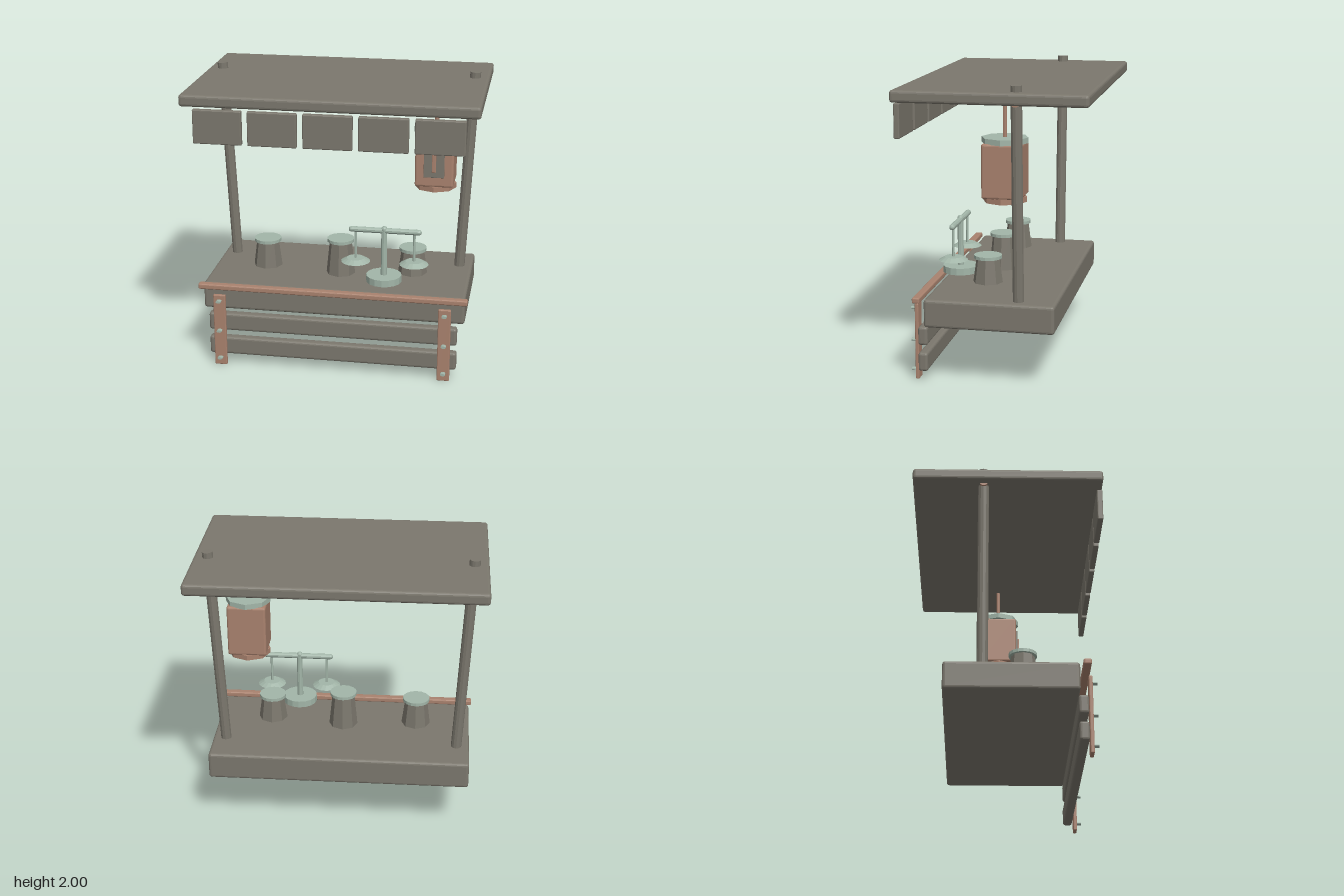
import * as THREE from 'three';
import { RoundedBoxGeometry } from 'three/addons/geometries/RoundedBoxGeometry.js';

export function createModel() {
  const model = new THREE.Group();
  model.name = 'marketStall';

  const material = (name, color) => {
    const m = new THREE.MeshStandardMaterial({ color, flatShading: true });
    m.name = name;
    return m;
  };
  const wood = material('greyWood', 0x7b776d);
  const copper = material('copper', 0xa9826e);
  const pale = material('paleMetal', 0xa2b5a8);

  const add = (name, geometry, mat, x, y, z, parent = model) => {
    const mesh = new THREE.Mesh(geometry, mat);
    mesh.name = name;
    mesh.position.set(x, y, z);
    parent.add(mesh);
    return mesh;
  };
  // Bevelled block given by its extents on each axis
  const block = (name, mat, [x0, x1], [y0, y1], [z0, z1], bevel = 0.01, parent = model) =>
    add(name, new RoundedBoxGeometry(x1 - x0, y1 - y0, z1 - z0, 2, bevel), mat,
      (x0 + x1) / 2, (y0 + y1) / 2, (z0 + z1) / 2, parent);
  // Upright cylinder from y0 to y1
  const drum = (name, mat, rTop, rBottom, x, y0, y1, z, sides, parent = model) =>
    add(name, new THREE.CylinderGeometry(rTop, rBottom, y1 - y0, sides), mat, x, (y0 + y1) / 2, z, parent);
  const group = (name) => {
    const g = new THREE.Group();
    g.name = name;
    model.add(g);
    return g;
  };

  // Roof and counter
  block('roof', wood, [-0.983, 0.983], [1.88, 1.96], [-0.637, 0.637], 0.02);
  block('counter', wood, [-0.908, 0.908], [0.39, 0.58], [-0.415, 0.455], 0.02);
  block('counterTrim', copper, [-0.928, 0.928], [0.556, 0.595], [0.475, 0.527], 0.01);

  // Leaning posts and the beam between them
  for (const side of [-1, 1]) {
    const foot = new THREE.Vector3(side * 0.81, 0.45, -0.163);
    const top = new THREE.Vector3(side * 0.887, 2, -0.163);
    const dir = top.clone().sub(foot);
    const post = drum('post', wood, 0.037, 0.037, 0, 0, dir.length(), 0, 12);
    post.position.copy(foot).lerp(top, 0.5);
    post.quaternion.setFromUnitVectors(new THREE.Vector3(0, 1, 0), dir.normalize());
  }
  const beam = drum('crossBeam', copper, 0.03, 0.03, 0, 0, 1.86, 0, 10);
  beam.position.set(0, 1.894, -0.163);
  beam.rotation.z = Math.PI / 2;

  // Valance panels
  for (let i = -2; i <= 2; i++) {
    const x = i * 0.365;
    block('valancePanel', wood, [x - 0.163, x + 0.163], [1.635, 1.865], [0.597, 0.636], 0.008);
  }

  // Front slats, battens and bolts
  block('lowerSlat', wood, [-0.862, 0.862], [0.07, 0.198], [0.443, 0.508], 0.018);
  block('upperSlat', wood, [-0.862, 0.862], [0.25, 0.377], [0.443, 0.508], 0.018);
  for (const side of [-1, 1]) {
    const x = side * 0.778;
    block('batten', copper, [x - 0.043, x + 0.043], [0, 0.525], [0.512, 0.538], 0.007);
    for (const y of [0.06, 0.265, 0.485]) {
      const bolt = drum('bolt', pale, 0.018, 0.018, 0, 0, 0.036, 0, 10);
      bolt.position.set(x, y, 0.552);
      bolt.rotation.x = Math.PI / 2;
      bolt.scale.z = 0.5;
    }
  }

  // Hanging lantern
  const lantern = group('lantern');
  const lx = 0.643, lz = -0.04;
  drum('lanternRod', copper, 0.014, 0.014, lx, 1.62, 1.89, lz, 8, lantern);
  drum('lanternCap', pale, 0.155, 0.155, lx, 1.595, 1.632, lz, 8, lantern);
  block('lanternBody', copper, [lx - 0.133, lx + 0.133], [1.24, 1.6], [lz - 0.133, lz + 0.133], 0.015, lantern);
  drum('lanternBase', copper, 0.145, 0.145, lx, 1.207, 1.243, lz, 8, lantern);
  block('lanternPane', wood, [0.572, 0.713], [1.312, 1.525], [0.085, 0.106], 0.003, lantern);
  block('lanternHandle', copper, [0.629, 0.657], [1.352, 1.483], [0.1, 0.12], 0.004, lantern);

  // Lidded pots
  for (const [x, y0, y1] of [[-0.523, 0.608, 0.81], [0, 0.58, 0.837], [0.51, 0.615, 0.803]]) {
    const pot = group('pot');
    drum('potBody', wood, 0.078, 0.102, x, y0, y1 - 0.015, 0.107, 8, pot);
    drum('potLid', pale, 0.095, 0.095, x, y1 - 0.022, y1, 0.107, 16, pot);
  }

  // Balance scale
  const scale = group('balanceScale');
  const sx = 0.338, sz = 0.338;
  drum('scaleBase', pale, 0.122, 0.122, sx, 0.63, 0.677, sz, 16, scale);
  drum('scaleColumn', pale, 0.02, 0.022, sx, 0.67, 1.01, sz, 10, scale);
  add('scaleKnob', new THREE.SphereGeometry(0.022, 12, 8), pale, sx, 1.005, sz, scale);
  const arm = add('scaleArm', new THREE.CapsuleGeometry(0.02, 0.46, 3, 10), pale, sx + 0.006, 0.995, sz, scale);
  arm.rotation.z = Math.PI / 2;
  for (const side of [-1, 1]) {
    const x = sx + 0.005 + side * 0.201;
    drum('panRod', pale, 0.009, 0.009, x, 0.775, 0.99, sz, 8, scale);
    drum('pan', pale, 0.06, 0.1, x, 0.764, 0.788, sz, 16, scale);
  }

  return model;
}
